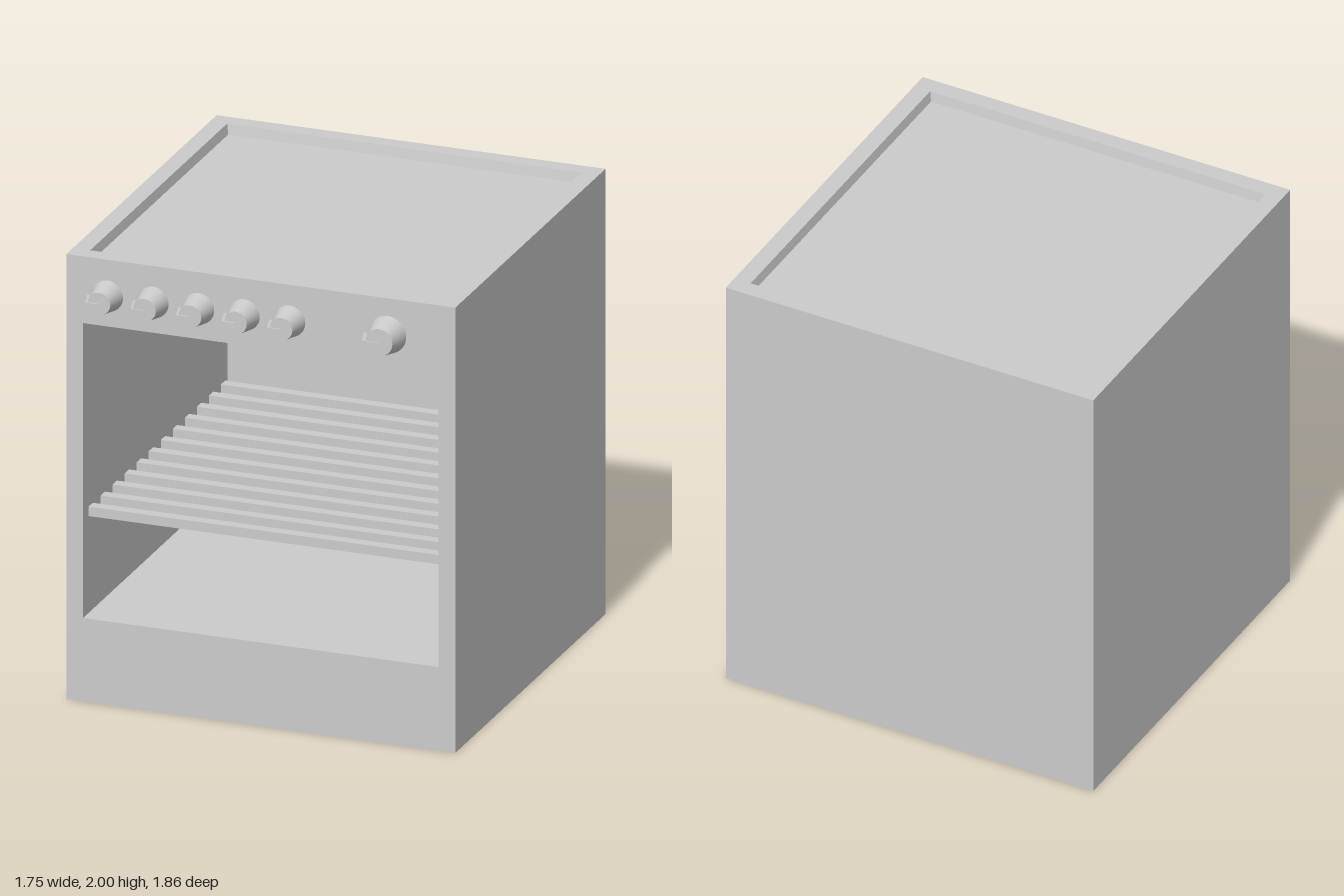
import * as THREE from 'three';

const W = 1.75, H = 2, D = 1.75;            // cabinet size
const FRONT = 0.82, BACK = FRONT - D, MID = (FRONT + BACK) / 2;
const material = new THREE.MeshStandardMaterial({ color: 0xcccccc });

function add(parent, name, geometry, x = 0, y = 0, z = 0) {
  const mesh = new THREE.Mesh(geometry, material);
  mesh.name = name;
  mesh.position.set(x, y, z);
  parent.add(mesh);
  return mesh;
}

function trace(path, x0, y0, x1, y1) {
  path.moveTo(x0, y0);
  path.lineTo(x1, y0);
  path.lineTo(x1, y1);
  path.lineTo(x0, y1);
  path.closePath();
  return path;
}

// Flat w x h panel with a rectangular hole, both given around the panel centre
function holedPanel(w, h, hole) {
  const shape = trace(new THREE.Shape(), -w / 2, -h / 2, w / 2, h / 2);
  shape.holes.push(trace(new THREE.Path(), ...hole));
  return new THREE.ShapeGeometry(shape);
}

// Box seen from inside, with one face left out (2 = top, 4 = front)
function hollow(w, h, d, openFace, floorInset = 0) {
  const g = new THREE.BoxGeometry(w, h, d);
  const index = Array.from(g.index.array);
  index.splice(openFace * 6, 6);
  g.setIndex(index);
  g.clearGroups();
  const p = g.attributes.position;
  for (let i = 0; i < p.count; i++) {
    if (p.getY(i) > 0) continue;
    p.setX(i, p.getX(i) - Math.sign(p.getX(i)) * floorInset);
    p.setZ(i, p.getZ(i) - Math.sign(p.getZ(i)) * floorInset);
  }
  g.scale(-1, 1, 1);
  g.computeVertexNormals();
  return g;
}

// Fin that widens away from the knob axis and follows the knob's taper
function pointerGeometry() {
  const g = new THREE.BoxGeometry(1, 1, 1);
  const p = g.attributes.position;
  for (let i = 0; i < p.count; i++) {
    const outer = p.getX(i) < 0, tip = p.getZ(i) > 0;
    p.setXYZ(i,
      outer ? (tip ? -0.06 : -0.09) : 0,
      Math.sign(p.getY(i)) * (outer ? 0.011 : 0.001),
      tip ? 0.108 : 0);
  }
  g.computeVertexNormals();
  return g;
}

function makeKnob(x, scale) {
  const knob = new THREE.Group();
  knob.name = 'knob';
  const body = new THREE.CylinderGeometry(0.05, 0.07, 0.1, 32);
  body.rotateX(Math.PI / 2);
  add(knob, 'knobBody', body, 0, 0, 0.05);
  add(knob, 'knobPointer', pointerGeometry()).rotation.z = 0.17;
  knob.position.set(x, 1.837, FRONT);
  knob.scale.set(scale, scale, 1);
  return knob;
}

export function createModel() {
  const oven = new THREE.Group();
  oven.name = 'oven';

  // Cabinet panels
  const cabinet = new THREE.Group();
  cabinet.name = 'cabinet';
  oven.add(cabinet);
  add(cabinet, 'frontPanel', holedPanel(W, H, [-0.8, 0.375 - 1, 0.8, 1.7 - 1]), 0, H / 2, FRONT);
  add(cabinet, 'backPanel', new THREE.PlaneGeometry(W, H), 0, H / 2, BACK).rotation.y = Math.PI;
  for (const s of [-1, 1]) {
    add(cabinet, s > 0 ? 'leftPanel' : 'rightPanel', new THREE.PlaneGeometry(D, H),
      s * W / 2, H / 2, MID).rotation.y = s * Math.PI / 2;
  }
  add(cabinet, 'bottomPanel', new THREE.PlaneGeometry(W, D), 0, 0, MID).rotation.x = Math.PI / 2;

  // Top rim and sunken hob surface
  const hw = 0.798, hd = 0.798;
  add(cabinet, 'topRim', holedPanel(W, D, [-hw, -hd, hw, hd]), 0, H, MID).rotation.x = -Math.PI / 2;
  add(cabinet, 'hobRecess', hollow(hw * 2, 0.045, hd * 2, 2, 0.008), 0, H - 0.0225, MID);

  // Open oven cavity
  const cavityBack = -0.86;
  add(cabinet, 'ovenCavity', hollow(1.6, 1.325, FRONT - cavityBack, 4),
    0, (0.375 + 1.7) / 2, (FRONT + cavityBack) / 2);

  // Rack of crossbars
  const rack = new THREE.Group();
  rack.name = 'rack';
  oven.add(rack);
  for (let i = 0; i < 12; i++) {
    add(rack, 'rackBar', new THREE.BoxGeometry(1.6, 0.042, 0.05), 0, 0.831, 0.73 - i * 0.14);
  }

  // Five small knobs and one large one
  for (let i = 0; i < 5; i++) oven.add(makeKnob(-0.69 + i * 0.205, 1));
  oven.add(makeKnob(0.57, 1.2));

  return oven;
}
